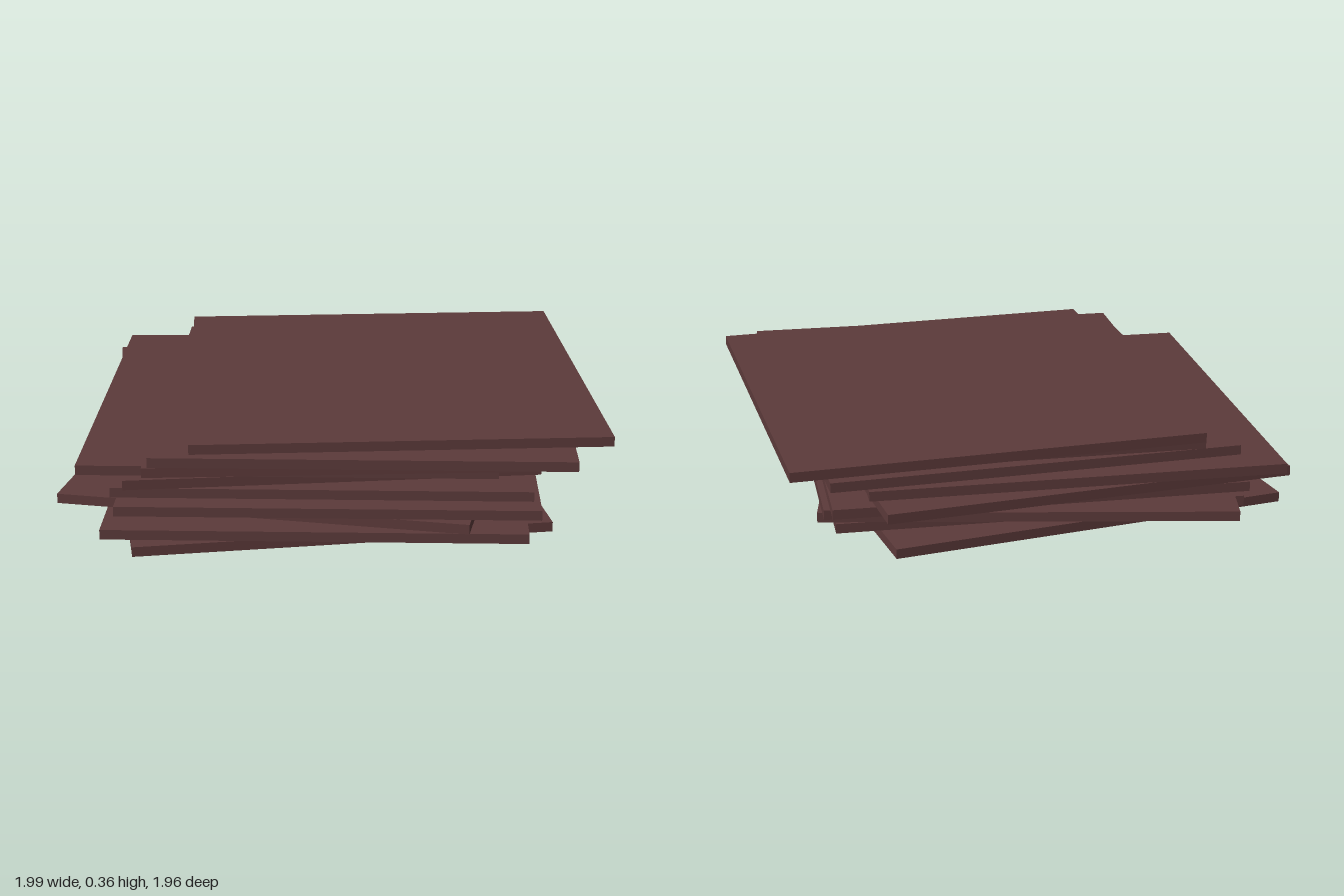
import * as THREE from 'three';

export function createModel() {
  const group = new THREE.Group();
  group.name = 'boardStack';

  const width = 1.5, depth = 1.6, thickness = 0.0358;
  const geometry = new THREE.BoxGeometry(width, thickness, depth);
  const material = new THREE.MeshStandardMaterial({ color: 0x5c3a3a });

  // Each board from the bottom up: centre x, centre z, turn in degrees
  const boards = [
    [-0.095, 0.055, 10.4],
    [-0.06, 0.11, 0],
    [-0.122, 0, -9.8],
    [-0.015, 0.07, 0],
    [-0.038, -0.018, 0],
    [-0.1, -0.088, 7.5],
    [-0.163, -0.05, 0],
    [0.028, 0.015, 4.1],
    [0.107, 0.06, 0],
    [0.18, -0.037, 4.8],
  ];

  boards.forEach(([x, z, turn], i) => {
    const board = new THREE.Mesh(geometry, material);
    board.name = `board${i + 1}`;
    board.position.set(x, (i + 0.5) * thickness, z);
    board.rotation.y = THREE.MathUtils.degToRad(turn);
    group.add(board);
  });

  return group;
}
